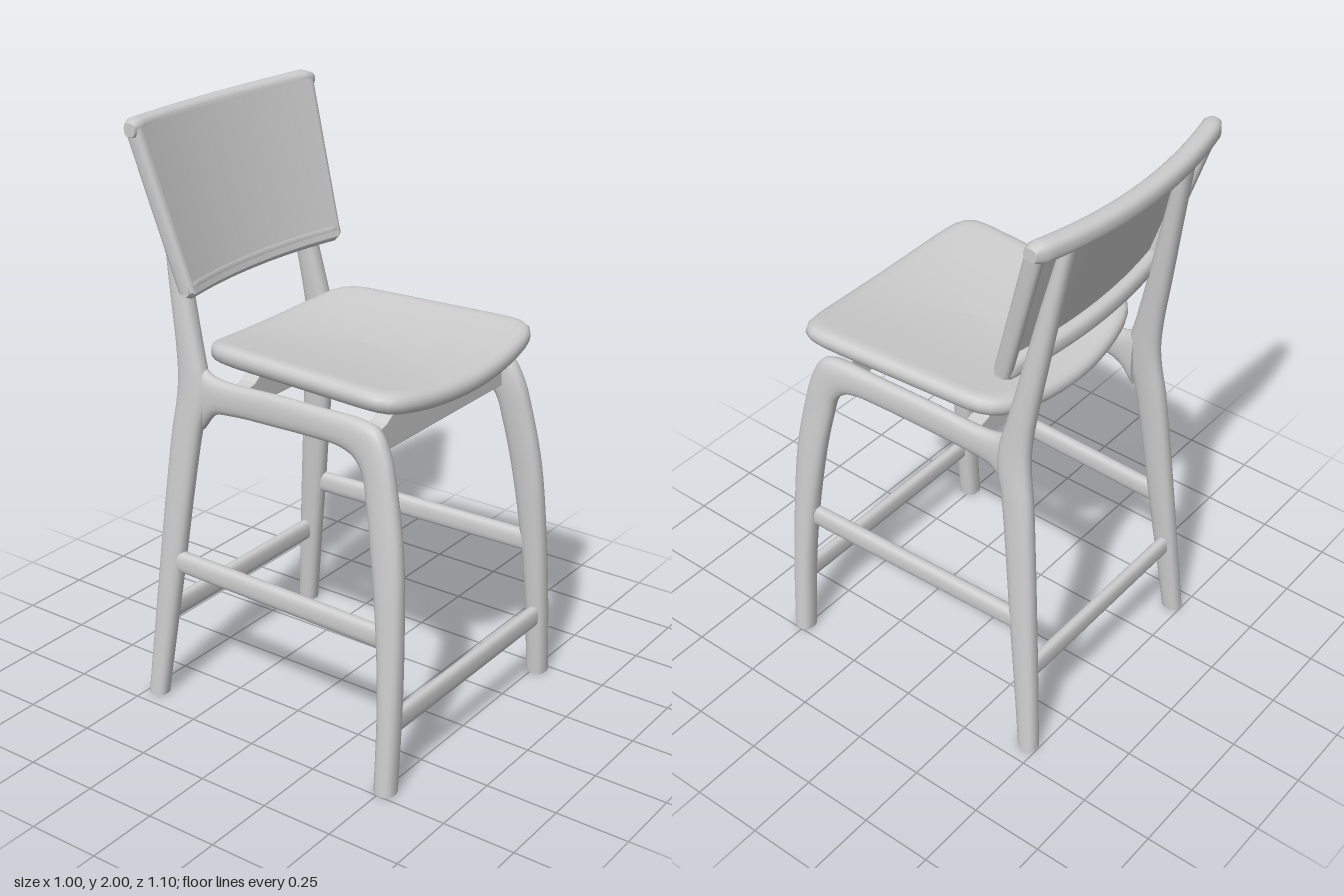
import * as THREE from 'three';

const wood = new THREE.MeshStandardMaterial({ color: 0xcccccc });
wood.name = 'pale grey';

// Skin a list of closed rings (arrays of [x, y, z]); ends get flat caps.
function skin(rings) {
  const n = rings[0].length, pos = [], idx = [];
  rings.forEach(r => r.forEach(p => pos.push(...p)));
  for (let i = 0; i < rings.length - 1; i++)
    for (let j = 0; j < n; j++) {
      const a = i * n + j, b = i * n + (j + 1) % n;
      idx.push(a, b, a + n, b, b + n, a + n);
    }
  [rings[0], rings[rings.length - 1]].forEach((r, k) => {
    const start = pos.length / 3;
    r.forEach(p => pos.push(...p));
    pos.push(...[0, 1, 2].map(c => r.reduce((s, p) => s + p[c], 0) / n));
    for (let j = 0; j < n; j++) {
      const a = start + j, b = start + (j + 1) % n;
      idx.push(...(k ? [a, b, start + n] : [b, a, start + n]));
    }
  });
  // Turn the faces outward if the signed volume is negative
  let volume = 0;
  const v = i => new THREE.Vector3().fromArray(pos, i * 3);
  for (let i = 0; i < idx.length; i += 3)
    volume += v(idx[i]).dot(v(idx[i + 1]).cross(v(idx[i + 2])));
  if (volume < 0) idx.reverse();
  const g = new THREE.BufferGeometry();
  g.setAttribute('position', new THREE.Float32BufferAttribute(pos, 3));
  g.setIndex(idx);
  g.computeVertexNormals();
  return g;
}

// Rounded section around centre c, spanned by half-axes a and b
function section(c, a, b, power = 3, n = 20) {
  return Array.from({ length: n }, (_, i) => {
    const t = i / n * Math.PI * 2, co = Math.cos(t), si = Math.sin(t);
    const r = (Math.abs(co) ** power + Math.abs(si) ** power) ** (-1 / power);
    return c.map((q, k) => q + r * (co * a[k] + si * b[k]));
  });
}

// Limb drawn in the side plane: rows of [x, halfWidth, z1, y1, z2, y2], smoothed
function limb(rows, steps = 40) {
  const curve = k => new THREE.CatmullRomCurve3(
    rows.map(r => new THREE.Vector3(k ? r[k + 1] : r[0], k ? r[k + 2] : r[1], 0)));
  // Blend all columns with the same uniform parameter
  const [size, edge1, edge2] = [curve(0), curve(1), curve(3)];
  return skin(Array.from({ length: steps + 1 }, (_, i) => {
    const s = size.getPoint(i / steps), p = edge1.getPoint(i / steps), q = edge2.getPoint(i / steps);
    return section([s.x, (p.y + q.y) / 2, (p.x + q.x) / 2], [s.y, 0, 0],
      [0, (p.y - q.y) / 2, (p.x - q.x) / 2], 2.7);
  }));
}

// Straight bar between two points, with half height and half thickness
function bar(p, q, h, w) {
  const d = new THREE.Vector3().subVectors(new THREE.Vector3(...q), new THREE.Vector3(...p));
  const side = d.cross(new THREE.Vector3(0, 1, 0)).normalize().multiplyScalar(w).toArray();
  return skin([p, q].map(c => section(c, side, [0, h, 0])));
}

// Front face of the leaning, bowed backrest
const backZ = (x, y) => -0.27 - (y - 1.46) * 0.32 - 0.055 * (1 - (x / 0.45) ** 2);

// Bowed rail of the backrest with rounded ends
function backRail(halfX, y, h, d, dip) {
  const rings = [];
  for (let i = -16; i <= 16; i++) {
    const u = i / 16, x = u * halfX;
    const k = Math.abs(i) === 16 ? 0.65 : 1;
    rings.push(section([x, y - dip * (1 - u * u), backZ(x, y) - d], [0, h * k, 0], [0, 0, d * k]));
  }
  return skin(rings);
}

// Dished seat cushion: scaled outlines stacked as [scale, height]
function seatGeometry() {
  const profile = [[0.01, 0], [0.35, 0], [0.7, 0], [0.92, 0], [0.97, 0.008], [0.993, 0.02], [1, 0.035],
    [0.993, 0.049], [0.972, 0.061], [0.93, 0.069], [0.87, 0.072], [0.6, 0.072], [0.3, 0.072], [0.01, 0.072]];
  return skin(profile.map(([s, h]) => section([0, 0, 0], [s, 0, 0], [0, 0, s], 11, 96).map(([u, , v]) => [
    u * (0.403 + 0.026 * v),
    1.198 + 0.045 * u * u + h,
    0.1075 + 0.3725 * v + (v > 0 ? 0.04 : 0.065) * (1 - u * u) * v,
  ])));
}

// Cross bar under the seat, its top following the dished underside
function crossBar(bottom, halfX, depth) {
  const s = new THREE.Shape();
  s.moveTo(-halfX, bottom);
  s.lineTo(halfX, bottom);
  s.lineTo(halfX, 1.155);
  s.lineTo(halfX - 0.05, 1.168);
  s.quadraticCurveTo(halfX - 0.08, 1.19, 0.23, 1.208);
  s.quadraticCurveTo(0, 1.194, -0.23, 1.208);
  s.quadraticCurveTo(-halfX + 0.08, 1.19, -halfX + 0.05, 1.168);
  s.lineTo(-halfX, 1.155);
  s.closePath();
  return new THREE.ExtrudeGeometry(s, { depth, bevelEnabled: true, bevelSize: 0.004, bevelThickness: 0.006, bevelSegments: 2 })
    .translate(0, 0, -depth / 2);
}

export function createModel() {
  const model = new THREE.Group();
  model.name = 'barChair';
  const add = (name, geometry) => {
    const m = new THREE.Mesh(geometry, wood);
    m.name = name;
    model.add(m);
    return m;
  };

  // Seat and its supports
  add('seat', seatGeometry());
  add('frontApron', crossBar(1.085, 0.36, 0.045)).position.z = 0.365;
  add('rearSeatSupport', crossBar(1.1, 0.335, 0.045)).position.z = -0.158;

  for (const s of [1, -1]) {
    const side = s > 0 ? 'left' : 'right';
    // Front leg sweeping over into the side rail
    add(side + 'FrontLegAndRail', limb([
      [0.465, 0.036, 0.545, 0, 0.475, 0],
      [0.445, 0.036, 0.545, 0.28, 0.47, 0.28],
      [0.427, 0.035, 0.538, 0.53, 0.45, 0.53],
      [0.407, 0.034, 0.52, 0.8, 0.412, 0.8],
      [0.391, 0.033, 0.483, 1.0, 0.383, 0.95],
      [0.382, 0.033, 0.452, 1.11, 0.36, 1.035],
      [0.377, 0.032, 0.41, 1.178, 0.325, 1.072],
      [0.373, 0.03, 0.34, 1.194, 0.27, 1.09],
      [0.367, 0.027, 0.2, 1.192, 0.18, 1.09],
      [0.355, 0.025, 0, 1.186, 0, 1.08],
      [0.343, 0.026, -0.18, 1.175, -0.17, 1.067],
      [0.338, 0.028, -0.26, 1.182, -0.25, 1.05],
      [0.336, 0.029, -0.31, 1.21, -0.305, 0.985],
    ], 60).scale(1, 1, 1)).geometry.userData.side = side;
    // Rear leg rising into the back post
    add(side + 'RearLegAndPost', limb([
      [0.425, 0.03, -0.43, 0, -0.497, 0],
      [0.407, 0.031, -0.398, 0.25, -0.477, 0.25],
      [0.39, 0.032, -0.365, 0.5, -0.456, 0.5],
      [0.372, 0.032, -0.333, 0.76, -0.433, 0.76],
      [0.356, 0.032, -0.302, 0.98, -0.411, 0.98],
      [0.348, 0.032, -0.279, 1.08, -0.396, 1.08],
      [0.342, 0.032, -0.28, 1.16, -0.391, 1.16],
      [0.336, 0.032, -0.305, 1.26, -0.398, 1.26],
      [0.325, 0.032, -0.35, 1.45, -0.426, 1.45],
      [0.308, 0.03, -0.405, 1.7, -0.464, 1.7],
      [0.291, 0.027, -0.463, 1.94, -0.503, 1.94],
    ]));
    // Side stretcher and backrest stile
    add(side + 'Stretcher', bar([0.42, 0.513, 0.48], [0.392, 0.513, -0.4], 0.037, 0.022));
    add(side + 'BackStile', skin([[0.378, 1.46], [0.427, 1.965]].map(([x, y]) =>
      section([x, y, backZ(x, y) - 0.029], [0.021, 0, 0], [0, 0.008, 0.027]))));
  }
  // The limbs are drawn for the left; mirror every second set
  model.children.filter(m => m.name.startsWith('right')).forEach(m => {
    const p = m.geometry.attributes.position, index = m.geometry.index.array;
    for (let i = 0; i < p.count; i++) p.setX(i, -p.getX(i));
    index.reverse();
    m.geometry.computeVertexNormals();
  });

  // Stretchers across the front and back
  add('frontStretcher', bar([-0.445, 0.233, 0.512], [0.445, 0.233, 0.512], 0.037, 0.02));
  add('rearStretcher', bar([-0.4, 0.308, -0.436], [0.4, 0.308, -0.436], 0.037, 0.02));

  // Backrest rails and thin bowed panel
  add('topRail', backRail(0.453, 1.967, 0.033, 0.033, 0.012));
  add('bottomRail', backRail(0.398, 1.473, 0.033, 0.03, 0));
  const panel = new THREE.BoxGeometry(2, 1, 0.016, 32, 1, 1);
  const p = panel.attributes.position;
  for (let i = 0; i < p.count; i++) {
    const u = p.getX(i), v = p.getY(i) + 0.5;
    const x = u * (0.38 + 0.042 * v), y = 1.462 + v * (0.508 + 0.012 * u * u);
    p.setXYZ(i, x, y, backZ(x, y) - 0.006 + p.getZ(i));
  }
  panel.computeVertexNormals();
  add('backPanel', panel);
  return model;
}
